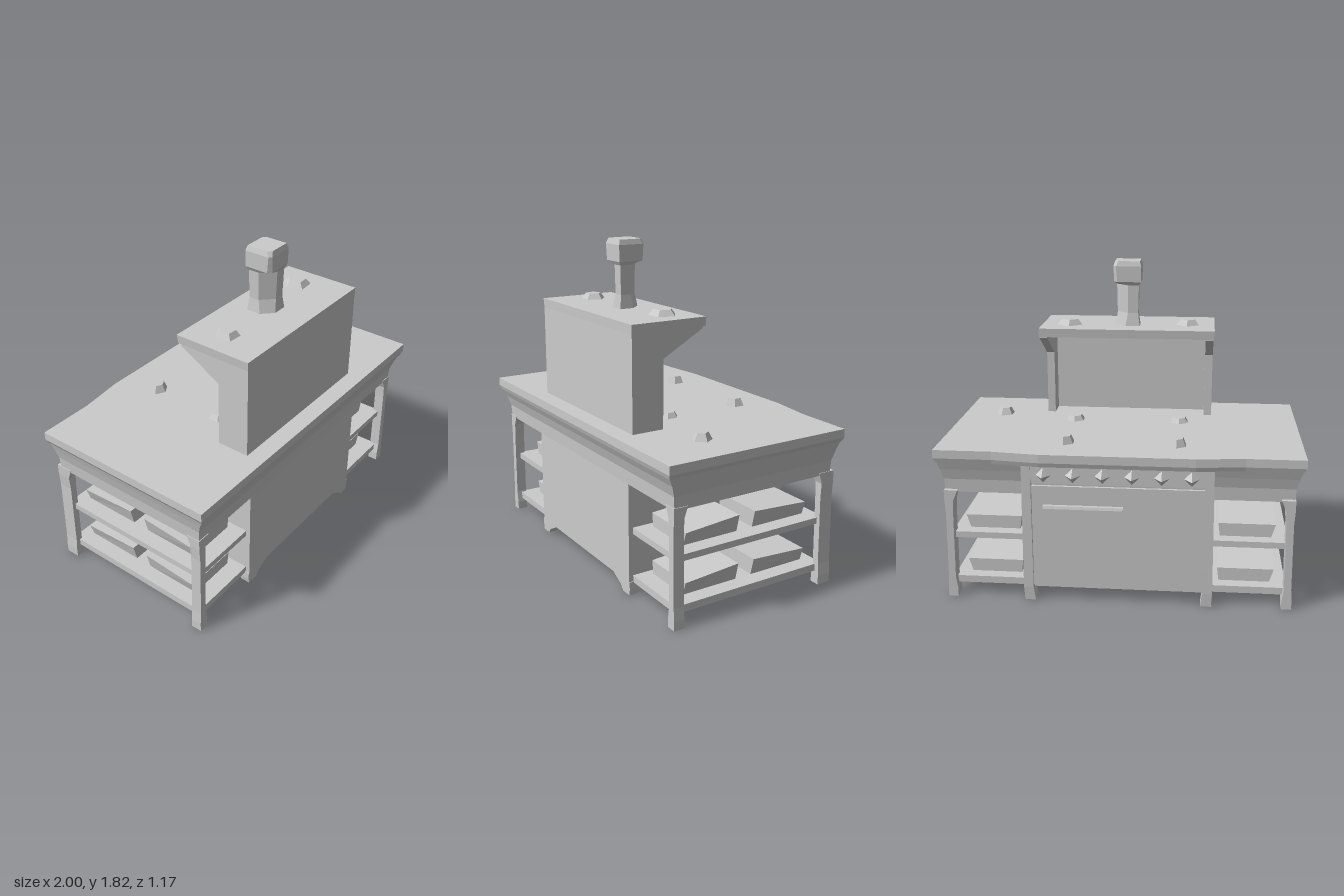
import * as THREE from 'three';

const material = new THREE.MeshStandardMaterial({ color: 0xcccccc, flatShading: true, side: THREE.DoubleSide });

function add(parent, name, geometry, x = 0, y = 0, z = 0) {
  const mesh = new THREE.Mesh(geometry, material);
  mesh.name = name;
  mesh.position.set(x, y, z);
  parent.add(mesh);
  return mesh;
}

// Box given by its limits on each axis
function block(parent, name, x0, x1, y0, y1, z0, z1) {
  return add(parent, name, new THREE.BoxGeometry(x1 - x0, y1 - y0, z1 - z0),
    (x0 + x1) / 2, (y0 + y1) / 2, (z0 + z1) / 2);
}

// Skin between horizontal rings, each { y, p: [[x, z], ...] }, with both ends capped
function loft(rings) {
  const pos = [], n = rings[0].p.length;
  const put = (r, i) => pos.push(r.p[i % n][0], r.y, r.p[i % n][1]);
  for (let k = 0; k + 1 < rings.length; k++) {
    const a = rings[k], b = rings[k + 1];
    for (let i = 0; i < n; i++) {
      put(a, i); put(a, i + 1); put(b, i + 1);
      put(a, i); put(b, i + 1); put(b, i);
    }
  }
  const top = rings[rings.length - 1];
  for (let i = 1; i + 1 < n; i++) {
    put(top, 0); put(top, i); put(top, i + 1);
    put(rings[0], 0); put(rings[0], i + 1); put(rings[0], i);
  }
  const g = new THREE.BufferGeometry();
  g.setAttribute('position', new THREE.Float32BufferAttribute(pos, 3));
  g.computeVertexNormals();
  return g;
}

const rect = (y, x0, x1, z0, z1) => ({ y, p: [[x0, z1], [x1, z1], [x1, z0], [x0, z0]] });

// Profile in (z, y) extruded along x
function sideProfile(points, x0, x1) {
  const shape = new THREE.Shape(points.map(([z, y]) => new THREE.Vector2(-z, y)));
  const g = new THREE.ExtrudeGeometry(shape, { depth: x1 - x0, bevelEnabled: false });
  return g.rotateY(Math.PI / 2).translate(x0, 0, 0);
}

export function createModel() {
  const root = new THREE.Group();
  root.name = 'kitchenIsland';

  // Worktop, bowed out over the oven at the back
  const outline = (y, s) => ({ y, p: [[-s, 0.585 * s], [s, 0.585 * s], [s, -0.5 * s], [0.68, -0.5 * s],
    [0.42, -0.53 * s], [-0.42, -0.53 * s], [-0.68, -0.5 * s], [-s, -0.5 * s]] });
  add(root, 'worktop', loft([outline(0.805, 0.985), outline(0.83, 1), outline(0.877, 1)]));

  // Flared apron under the worktop
  add(root, 'apron', loft([
    rect(0.625, -0.95, 0.95, -0.455, 0.525), rect(0.7, -0.955, 0.955, -0.46, 0.53),
    rect(0.76, -0.97, 0.97, -0.475, 0.55), rect(0.81, -0.985, 0.985, -0.49, 0.575)]));

  // Cabinet body, oven and floor
  block(root, 'cabinetBody', -0.52, 0.52, 0.07, 0.64, -0.455, 0.525);
  block(root, 'ovenDoor', -0.47, 0.47, 0.09, 0.68, -0.475, -0.45);
  block(root, 'controlPanel', -0.48, 0.48, 0.7, 0.81, -0.49, -0.45);
  add(root, 'ovenHandle', loft([rect(0.595, -0.04, 0.39, -0.59, -0.58), rect(0.61, -0.04, 0.39, -0.585, -0.565)]));
  for (let i = 0; i < 6; i++) {
    const knob = new THREE.ConeGeometry(0.045, 0.06, 4).rotateX(-Math.PI / 2);
    add(root, 'knob', knob, -0.4 + i * 0.16, 0.75, -0.515);
  }

  for (const s of [-1, 1]) {
    const half = new THREE.Group();
    half.name = s < 0 ? 'rightHalf' : 'leftHalf';
    root.add(half);
    const span = (y, a, b, z0, z1) => rect(y, Math.min(s * a, s * b), Math.max(s * a, s * b), z0, z1);

    // Corner legs with brackets and flared feet
    for (const [name, z0, z1] of [['frontLeg', 0.47, 0.53], ['backLeg', -0.48, -0.4]]) {
      const inZ = name === 'frontLeg' ? [-0.02, 0] : [0, 0.02];
      add(half, name, loft([
        span(0, 0.905, 0.96, z0, z1), span(0.05, 0.905, 0.96, z0, z1),
        span(0.12, 0.915, 0.955, z0, z1), span(0.5, 0.91, 0.95, z0, z1),
        span(0.58, 0.905, 0.955, z0, z1), span(0.64, 0.88, 0.955, z0 + inZ[0], z1 + inZ[1])]));
    }

    // Inner feet below the cabinet and the posts beside the oven
    add(half, 'innerFoot', loft([span(0, 0.455, 0.52, 0.47, 0.525), span(0.03, 0.43, 0.525, 0.46, 0.525),
      span(0.075, 0.34, 0.525, 0.45, 0.525)]));
    add(half, 'ovenPost', loft([span(0, 0.46, 0.52, -0.485, -0.41), span(0.08, 0.47, 0.525, -0.49, -0.42),
      span(0.8, 0.47, 0.52, -0.495, -0.43)]));

    // Open shelves, each with two crates
    for (const [y, h] of [[0.07, 0.04], [0.345, 0.035]]) {
      add(half, 'shelf', loft([span(y, 0.5, 0.93, -0.44, 0.5), span(y + h, 0.5, 0.93, -0.44, 0.5)]));
      for (const [z0, z1, tilt] of [[0.07, 0.4, 0.012], [-0.37, -0.03, -0.01]]) {
        const crate = loft([span(y + h - 0.005, 0.56, 0.84, z0, z1), span(y + h + 0.085, 0.55, 0.865, z0, z1)]);
        const p = crate.attributes.position;
        // Slope the crate top towards one side
        for (let i = 0; i < p.count; i++) {
          if (p.getY(i) > y + h + 0.05) p.setY(i, p.getY(i) + (p.getZ(i) > (z0 + z1) / 2 ? -tilt : tilt));
        }
        crate.computeVertexNormals();
        add(half, 'crate', crate);
      }
    }

    // End cheek of the hood wall, with the bracket under its shelf
    const cheek = [[0.47, 0.87], [0.47, 1.41], [0.06, 1.41], [0.06, 1.385], [0.3, 1.25], [0.3, 0.87]];
    add(half, 'hoodCheek', sideProfile(cheek, s > 0 ? 0.455 : -0.5, s > 0 ? 0.5 : -0.455));

    // Burners
    for (const z of [-0.3, 0.15]) {
      const burner = new THREE.CylinderGeometry(0.04, 0.06, z < 0 ? 0.045 : 0.03, 6);
      add(half, 'burner', burner, s * 0.31, z < 0 ? 0.897 : 0.89, z);
    }
  }

  // Hood wall and shelf
  block(root, 'hoodWall', -0.5, 0.5, 0.87, 1.42, 0.42, 0.485);
  add(root, 'hoodShelf', loft([rect(1.395, -0.5, 0.5, 0.04, 0.485), rect(1.445, -0.505, 0.5, 0.035, 0.487)]));

  // Small items on the hood and worktop
  for (const [x, y, z, r] of [[-0.35, 1.457, 0.24, 0.075], [0.34, 1.457, 0.2, 0.085], [0.75, 0.898, 0.23, 0.055]]) {
    add(root, 'smallItem', new THREE.CylinderGeometry(r * 0.6, r, 0.04, 5), x, y, z).rotation.y = x * 2;
  }

  // Chimney: a shaft flattened on the diagonal, below a wider square head
  const hex = (y, r, c) => ({ y, p: [[-r, r - c], [-r + c, r], [r, r], [r, -r + c], [r - c, -r], [-r, -r]] });
  add(root, 'chimney', loft([hex(1.44, 0.072, 0.06), hex(1.52, 0.062, 0.065), hex(1.68, 0.066, 0.07),
    hex(1.7, 0.078, 0.02), hex(1.79, 0.08, 0.015), hex(1.818, 0.072, 0.02)]), 0, 0, 0.23);

  return root;
}
